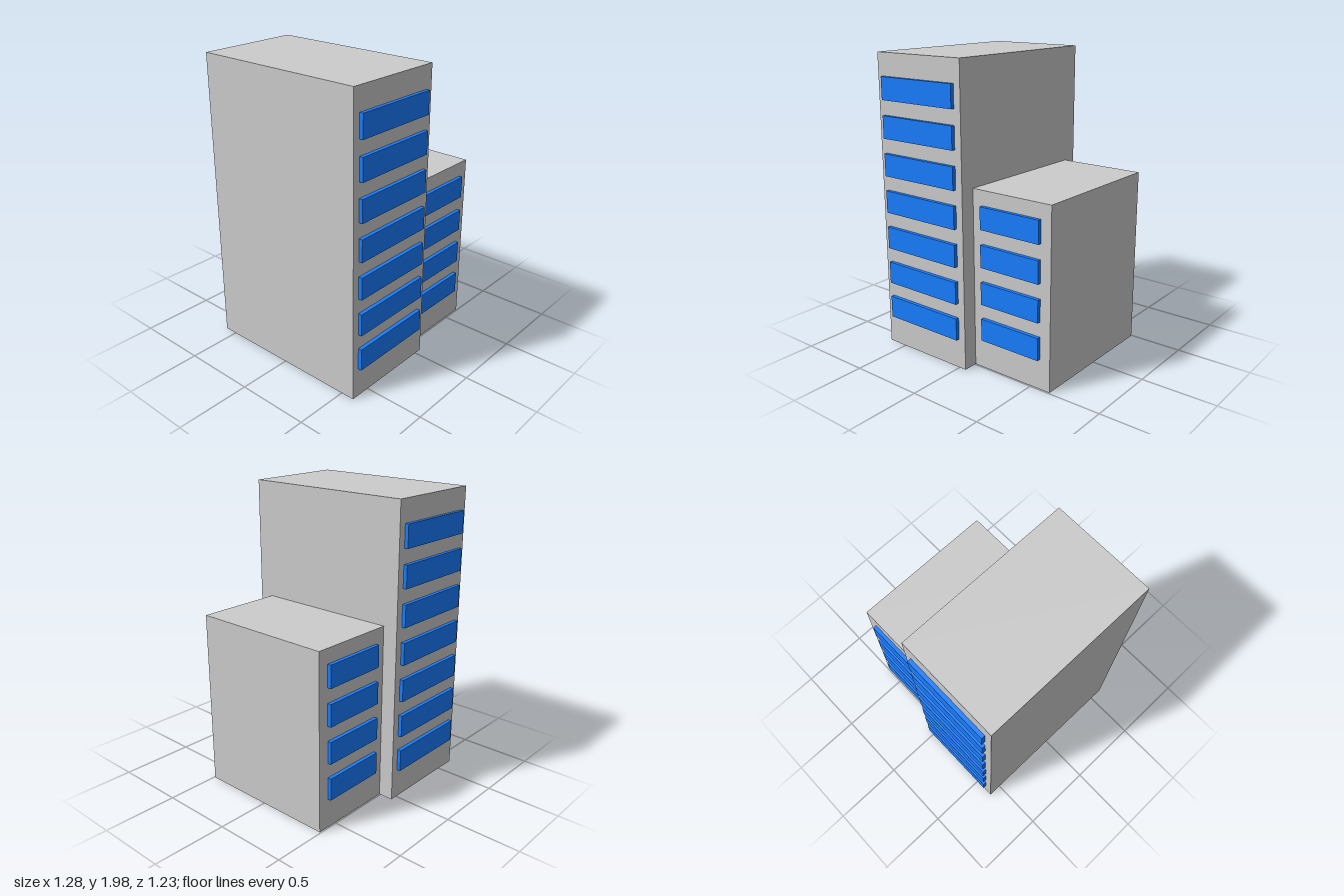
import * as THREE from 'three';

const wall = new THREE.MeshStandardMaterial({ color: 0xcccccc });
const glass = new THREE.MeshStandardMaterial({ color: 0x187eff });

const STOREY = 0.2465; // spacing between window bands
const SILL = 0.2; // bottom of the lowest band
const BAND_HEIGHT = 0.148;
const BAND_DEPTH = 0.05; // half of it is sunk into the wall

function box(name, material, [x0, x1], [y0, y1], [z0, z1]) {
  const mesh = new THREE.Mesh(new THREE.BoxGeometry(x1 - x0, y1 - y0, z1 - z0), material);
  mesh.name = name;
  mesh.position.set((x0 + x1) / 2, (y0 + y1) / 2, (z0 + z1) / 2);
  return mesh;
}

// A block with bands of windows on its front and back walls
function block(name, xRange, height, halfDepth, windowX, storeys) {
  const group = new THREE.Group();
  group.name = name;
  group.add(box(name + 'Walls', wall, xRange, [0, height], [-halfDepth, halfDepth]));
  for (let i = 0; i < storeys; i++) {
    const y = SILL + i * STOREY;
    for (const side of [1, -1]) {
      const z = side * halfDepth;
      group.add(box(side > 0 ? 'frontWindow' : 'backWindow', glass, windowX,
        [y, y + BAND_HEIGHT], [z - BAND_DEPTH / 2, z + BAND_DEPTH / 2]));
    }
  }
  return group;
}

export function createModel() {
  const model = new THREE.Group();
  model.name = 'officeBuilding';
  model.add(block('tower', [-0.64, 0.05], 1.975, 0.592, [-0.592, 0], 7));
  model.add(block('annex', [0.05, 0.64], 1.185, 0.492, [0.123, 0.566], 4));
  return model;
}
